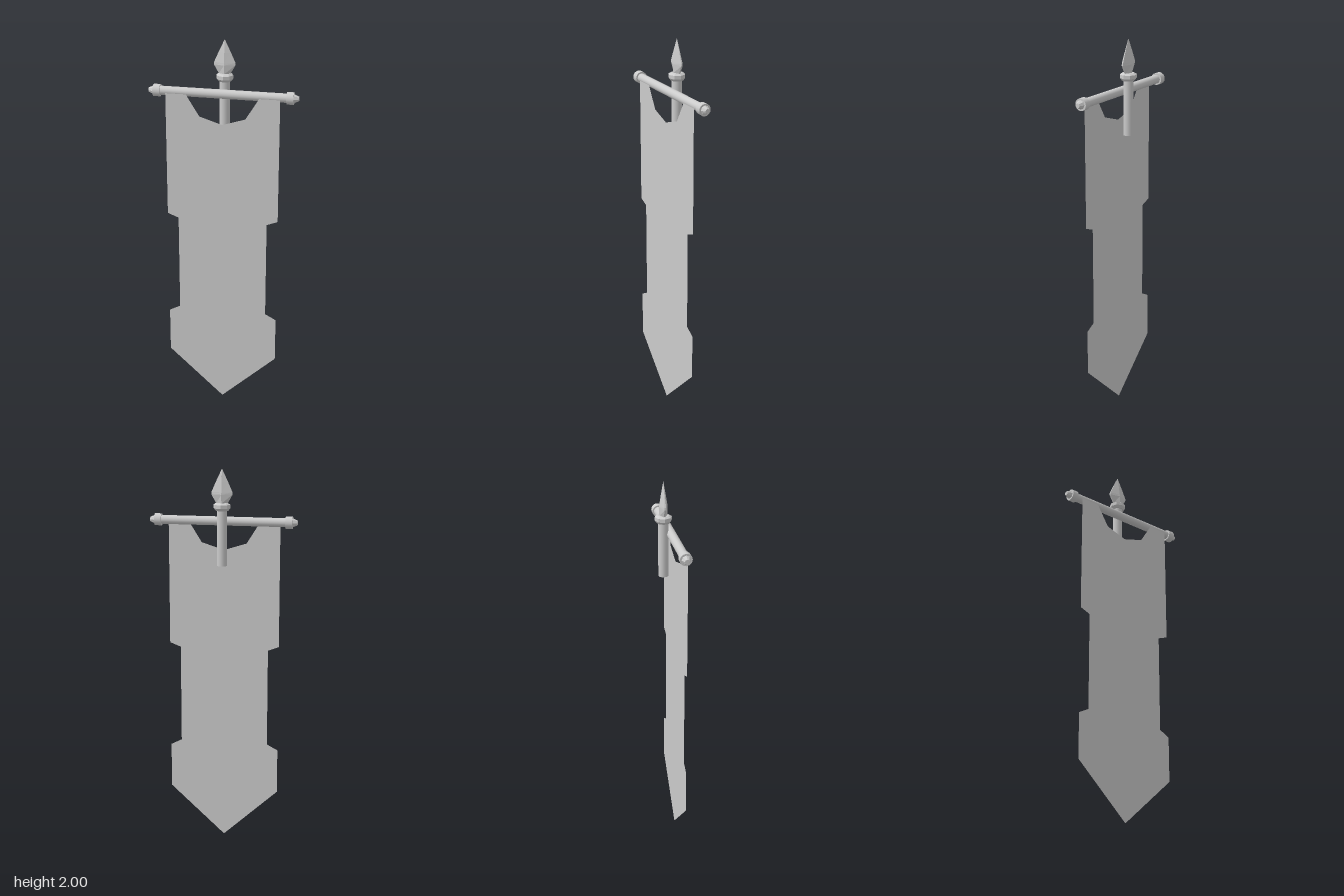
import * as THREE from 'three';

const smooth = new THREE.MeshStandardMaterial({ color: 0xcccccc });
const flat = new THREE.MeshStandardMaterial({ color: 0xcccccc, flatShading: true });
const thin = new THREE.MeshStandardMaterial({ color: 0xcccccc, side: THREE.DoubleSide });

const POLE_Z = -0.013, BAR_Y = 1.733, BAR_Z = 0.025, CLOTH_Z = 0.049;

function add(parent, name, geometry, material, x = 0, y = 0, z = 0) {
  const mesh = new THREE.Mesh(geometry, material);
  mesh.name = name;
  mesh.position.set(x, y, z);
  parent.add(mesh);
  return mesh;
}

// Spear blade: stacked six-sided rings [y, halfWidth, halfDepth] with narrow blunt edges
function bladeGeometry(rings) {
  const pos = [], index = [], n = 6;
  for (const [y, w, d] of rings) {
    const e = d * 0.18;
    pos.push(0, y, d, w, y, e, w, y, -e, 0, y, -d, -w, y, -e, -w, y, e);
  }
  for (let r = 0; r < rings.length - 1; r++) {
    for (let i = 0; i < n; i++) {
      const a = r * n + i, b = r * n + (i + 1) % n;
      index.push(a, b, b + n, a, b + n, a + n);
    }
  }
  for (let i = 1; i < n - 1; i++) index.push(0, i + 1, i);
  const g = new THREE.BufferGeometry();
  g.setAttribute('position', new THREE.Float32BufferAttribute(pos, 3));
  g.setIndex(index);
  g.computeVertexNormals();
  return g;
}

export function createModel() {
  const group = new THREE.Group();
  group.name = 'hangingBanner';

  // Cloth hung on the front of the bar: right half outline, mirrored for the left
  const half = [
    [0, 1.58], [0.117, 1.617], [0.175, 1.71], [0.184, 1.727], [0.29, 1.727],
    [0.29, 1.077], [0.233, 1.055], [0.233, 0.535], [0.29, 0.505], [0.29, 0.267], [0, 0],
  ];
  const mirrored = half.slice(1, -1).reverse().map(([x, y]) => [-x, y]);
  const outline = [...half, ...mirrored].map(([x, y]) => new THREE.Vector2(x, y));
  add(group, 'cloth', new THREE.ShapeGeometry(new THREE.Shape(outline)), thin, 0, 0, CLOTH_Z);

  // Short upright pole
  add(group, 'pole', new THREE.CylinderGeometry(0.026, 0.026, 0.29, 16), smooth, 0, 1.655, POLE_Z);

  // Eight-sided collar under the blade
  const collar = [[0, 1.791], [0.033, 1.791], [0.043, 1.804], [0.043, 1.822], [0.03, 1.83], [0, 1.83]];
  add(group, 'poleCollar',
    new THREE.LatheGeometry(collar.map(([r, y]) => new THREE.Vector2(r, y)), 8), flat, 0, 0, POLE_Z);

  // Leaf-shaped spear blade
  add(group, 'spearBlade', bladeGeometry([
    [1.828, 0.029, 0.02], [1.873, 0.054, 0.0215], [1.885, 0.053, 0.02],
    [1.935, 0.031, 0.012], [2, 0.0005, 0.0005],
  ]), flat, 0, 0, POLE_Z);

  // Crossbar with a collar and tapered cap on each end
  add(group, 'crossbar', new THREE.CylinderGeometry(0.023, 0.023, 0.66, 16), smooth, 0, BAR_Y, BAR_Z)
    .rotation.z = Math.PI / 2;
  for (const side of [1, -1]) {
    const turn = -side * Math.PI / 2;
    add(group, side > 0 ? 'leftBarCollar' : 'rightBarCollar',
      new THREE.CylinderGeometry(0.031, 0.031, 0.035, 16), smooth, side * 0.3375, BAR_Y, BAR_Z)
      .rotation.z = turn;
    add(group, side > 0 ? 'leftBarCap' : 'rightBarCap',
      new THREE.CylinderGeometry(0.012, 0.023, 0.025, 8), flat, side * 0.3675, BAR_Y, BAR_Z)
      .rotation.z = turn;
  }
  return group;
}
